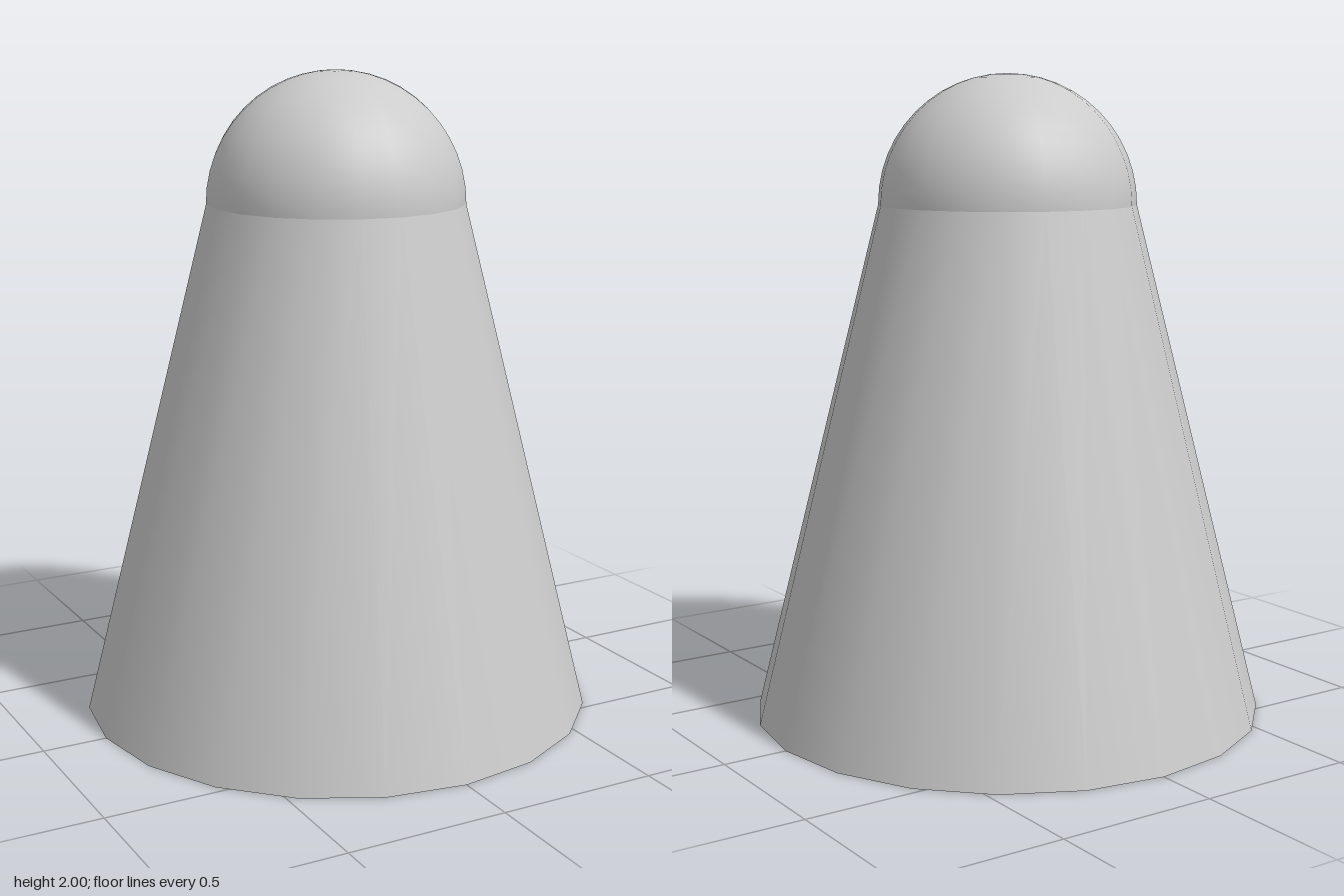
import * as THREE from 'three';

const SIDES = 20;
const BODY_HEIGHT = 1.6;
const TOP_RADIUS = 0.4;
const BASE_RADIUS = 0.8;

export function createModel() {
  const group = new THREE.Group();
  group.name = 'domedCone';
  const material = new THREE.MeshStandardMaterial({ color: 0xcccccc, side: THREE.DoubleSide });

  // Hollow tapered body, open at both ends
  const body = new THREE.Mesh(
    new THREE.CylinderGeometry(TOP_RADIUS, BASE_RADIUS, BODY_HEIGHT, SIDES, 1, true),
    material
  );
  body.name = 'taperedBody';
  body.position.y = BODY_HEIGHT / 2;
  group.add(body);

  // Hemispherical cap sharing the body's top rim
  const dome = new THREE.Mesh(
    new THREE.SphereGeometry(TOP_RADIUS, SIDES, 12, 0, Math.PI * 2, 0, Math.PI / 2),
    material
  );
  dome.name = 'domeCap';
  dome.position.y = BODY_HEIGHT;
  group.add(dome);

  return group;
}
